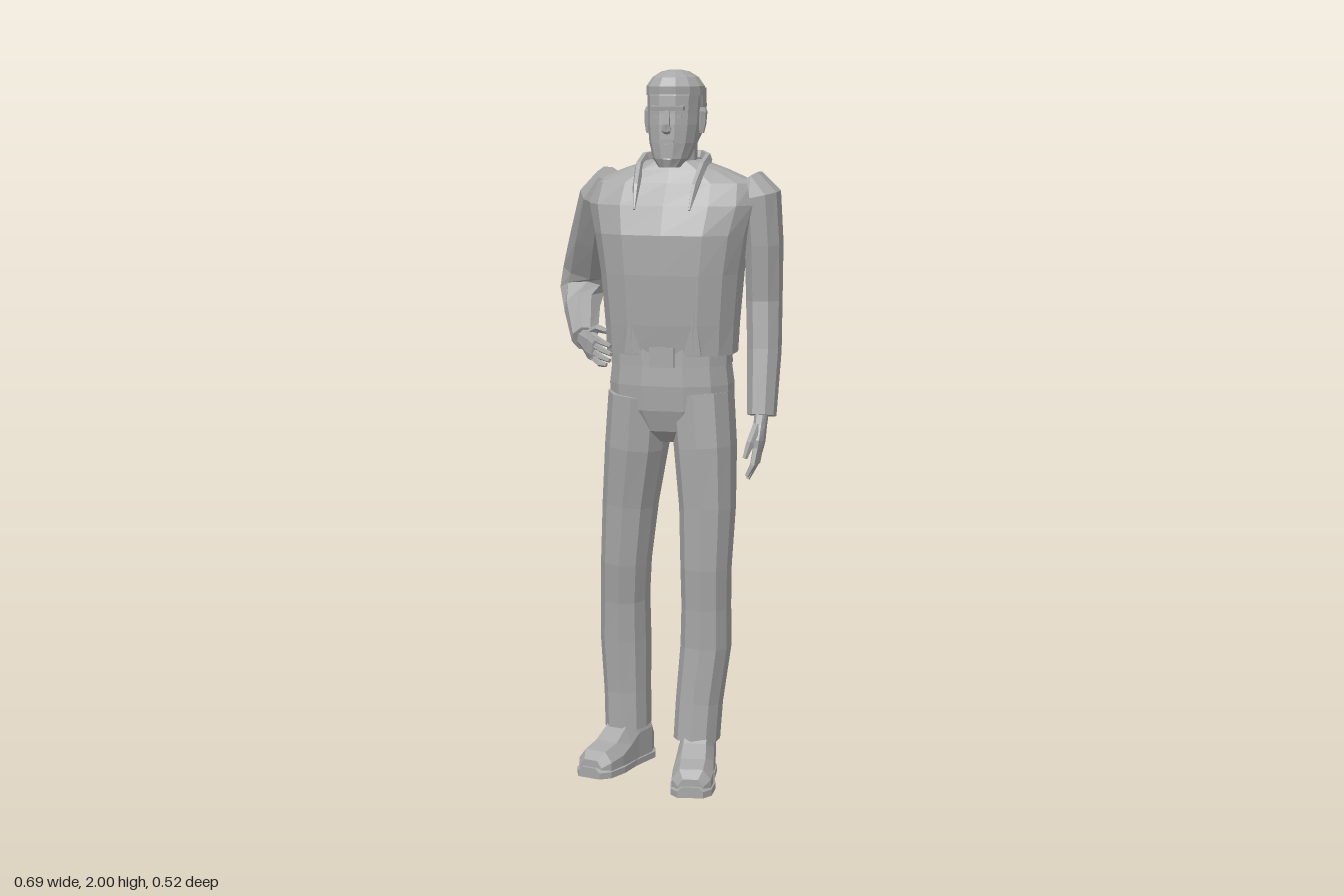
import * as THREE from 'three';

const V = (x, y, z) => new THREE.Vector3(x, y, z);
const cloth = new THREE.MeshStandardMaterial({ color: 0xa8a8a8 });
cloth.name = 'plain grey';
const YAW = 0.68; // the figure stands turned towards its left
const SIDE = V(Math.cos(YAW), 0, -Math.sin(YAW));
const FRONT = V(Math.sin(YAW), 0, Math.cos(YAW));

// Faceted skin over a row of rings, closed at both ends
function loft(name, rings) {
  const pos = [];
  const tri = (...pts) => pts.forEach((p) => pos.push(p.x, p.y, p.z));
  const n = rings[0].length;
  for (let i = 0; i < rings.length - 1; i++) {
    for (let j = 0; j < n; j++) {
      const k = (j + 1) % n, A = rings[i], B = rings[i + 1];
      tri(A[j], A[k], B[k]);
      tri(A[j], B[k], B[j]);
    }
  }
  const first = rings[0], last = rings[rings.length - 1];
  for (let j = 1; j < n - 1; j++) {
    tri(first[0], first[j + 1], first[j]);
    tri(last[0], last[j], last[j + 1]);
  }
  const g = new THREE.BufferGeometry();
  g.setAttribute('position', new THREE.Float32BufferAttribute(pos, 3));
  g.computeVertexNormals();
  return mesh(name, g);
}

function mesh(name, geometry) {
  const m = new THREE.Mesh(geometry, cloth);
  m.name = name;
  return m;
}

// Rounded-square ring spanned by axes u and v
function ring(c, u, v, a, b, n, power) {
  const soft = (t) => Math.sign(t) * Math.pow(Math.abs(t), 2 / power);
  return Array.from({ length: n }, (_, i) => {
    const t = ((i + 0.5) / n) * Math.PI * 2;
    return c.clone().addScaledVector(u, a * soft(Math.cos(t))).addScaledVector(v, b * soft(Math.sin(t)));
  });
}

// Upright form from rows of [y, half width, half depth, z centre]
function stack(name, rows, n = 12, power = 2.5) {
  return loft(name, rows.map(([y, a, b, z = 0]) => ring(V(0, y, z), V(1, 0, 0), V(0, 0, -1), a, b, n, power)));
}

// Form along a path from rows of [x, y, z, a, b]; a is measured along ref
function limb(name, rows, ref, n = 8, power = 2.4) {
  const p = rows.map((r) => V(r[0], r[1], r[2]));
  return loft(name, rows.map((r, i) => {
    const w = p[Math.min(i + 1, p.length - 1)].clone().sub(p[Math.max(i - 1, 0)]).normalize();
    const u = ref.clone().addScaledVector(w, -ref.dot(w)).normalize();
    return ring(p[i], u, w.clone().cross(u), r[3], r[4], n, power);
  }));
}

// Palm, four curled fingers and a thumb; the thumb lies on the 'across' side
function hand(name, wrist, tip, across, palmSide) {
  const g = new THREE.Group();
  g.name = name;
  const d = tip.clone().sub(wrist);
  const at = (t, s, c) => wrist.clone().addScaledVector(d, t).addScaledVector(across, s).addScaledVector(palmSide, c);
  const row = (t, s, c, a, b) => [...at(t, s, c).toArray(), a, b];
  g.add(limb('palm', [row(-0.1, 0, 0, 0.024, 0.02), row(0.15, 0, 0, 0.03, 0.018),
    row(0.4, 0, 0, 0.041, 0.017), row(0.58, 0, 0, 0.036, 0.012)], across));
  [0.028, 0.009, -0.01, -0.028].forEach((s, i) => {
    const len = [0.94, 1, 0.97, 0.86][i];
    g.add(limb('finger', [row(0.5, s, 0, 0.01, 0.01), row(0.76, s * 1.1, 0.004, 0.009, 0.009),
      row(len, s * 1.05, 0.018, 0.006, 0.006)], across, 5, 2));
  });
  g.add(limb('thumb', [row(0.15, 0.02, 0.005, 0.013, 0.013), row(0.4, 0.05, 0.014, 0.012, 0.012),
    row(0.64, 0.054, 0.024, 0.007, 0.007)], palmSide, 5, 2));
  return g;
}

// Shoe running from heel to toe along +z
function shoe(name, x, z, yaw) {
  const g = new THREE.Group();
  g.name = name;
  const section = ([pz, w, h]) => [[-w, 0], [w, 0], [w, h * 0.6], [w * 0.6, h], [-w * 0.6, h], [-w, h * 0.6]]
    .map(([px, py]) => V(px, py, pz));
  g.add(loft('upper', [[-0.035, 0.036, 0.11], [0, 0.05, 0.16], [0.07, 0.05, 0.155], [0.12, 0.054, 0.115],
    [0.17, 0.058, 0.085], [0.23, 0.055, 0.072], [0.255, 0.036, 0.05]].map(section)));
  g.add(loft('sole', [[-0.042, 0.036, 0.03], [-0.015, 0.053, 0.03], [0.09, 0.053, 0.03], [0.17, 0.063, 0.03],
    [0.235, 0.058, 0.03], [0.265, 0.036, 0.03]].map(section)));
  g.position.set(x, 0, z);
  g.rotation.y = yaw;
  return g;
}

function box(name, w, h, d, x, y, z, rx = 0) {
  const m = mesh(name, new THREE.BoxGeometry(w, h, d));
  m.position.set(x, y, z);
  m.rotation.x = rx;
  return m;
}

function buildHead() {
  const g = new THREE.Group();
  g.name = 'head';
  g.add(stack('neck', [[1.69, 0.068, 0.068, -0.045], [1.75, 0.058, 0.06, -0.045], [1.83, 0.058, 0.06, -0.045]], 10, 2));
  g.add(stack('face', [[1.733, 0.03, 0.025, 0.04], [1.757, 0.05, 0.058, 0.017], [1.8, 0.065, 0.084, -0.008],
    [1.85, 0.072, 0.094, -0.02], [1.88, 0.073, 0.095, -0.024], [1.93, 0.075, 0.098, -0.03],
    [1.97, 0.064, 0.08, -0.034]], 12, 2.3));
  g.add(stack('backHair', [[1.79, 0.05, 0.04, -0.07], [1.83, 0.069, 0.055, -0.068], [1.9, 0.08, 0.072, -0.06],
    [1.95, 0.08, 0.08, -0.05]], 12, 2.3));
  g.add(stack('topHair', [[1.93, 0.08, 0.1, -0.034], [1.955, 0.079, 0.1, -0.032], [1.98, 0.062, 0.082, -0.032],
    [1.995, 0.038, 0.055, -0.03], [2, 0.016, 0.03, -0.03]], 12, 2.2));
  // Nose, brow, lips and chin
  g.add(limb('nose', [[0, 1.888, 0.066, 0.007, 0.008], [0, 1.85, 0.08, 0.011, 0.012],
    [0, 1.836, 0.078, 0.016, 0.012], [0, 1.828, 0.07, 0.009, 0.006]], V(1, 0, 0), 6, 2));
  g.add(box('brow', 0.092, 0.012, 0.02, 0, 1.896, 0.062, 0.15));
  g.add(box('upperLip', 0.042, 0.008, 0.014, 0, 1.805, 0.073));
  g.add(box('lowerLip', 0.034, 0.009, 0.012, 0, 1.793, 0.07));
  g.add(stack('chin', [[1.735, 0.018, 0.012, 0.057], [1.755, 0.025, 0.016, 0.06], [1.772, 0.016, 0.012, 0.056]], 8, 2));
  for (const s of [-1, 1]) {
    g.add(box('eye', 0.022, 0.007, 0.008, s * 0.029, 1.873, 0.062));
    const ear = stack('ear', [[1.825, 0.006, 0.01, -0.025], [1.85, 0.011, 0.016, -0.03],
      [1.885, 0.013, 0.021, -0.034], [1.897, 0.008, 0.014, -0.034]], 6, 2);
    ear.position.x = s * 0.077;
    g.add(ear);
  }
  return g;
}

function buildBody() {
  const g = new THREE.Group();
  g.name = 'body';
  g.add(stack('jacket', [[1.215, 0.184, 0.125, 0.002], [1.3, 0.188, 0.138, 0], [1.44, 0.2, 0.147, 0],
    [1.55, 0.218, 0.148, -0.002], [1.63, 0.238, 0.132, -0.014], [1.69, 0.232, 0.098, -0.028],
    [1.725, 0.15, 0.08, -0.034], [1.75, 0.078, 0.068, -0.038]], 14, 2.6));
  g.add(stack('pelvis', [[0.965, 0.035, 0.06, 0.005], [1.0, 0.11, 0.1, 0.004], [1.06, 0.175, 0.122, 0.002],
    [1.13, 0.175, 0.124, 0.005], [1.24, 0.162, 0.112, 0.01]], 12, 2.5));
  g.add(stack('belt', [[1.185, 0.171, 0.121, 0.008], [1.235, 0.169, 0.119, 0.008]], 12, 2.5));
  g.add(box('buckle', 0.07, 0.055, 0.02, 0, 1.212, 0.127));
  // Standing collar that ends in two hanging points
  const half = [[0.078, 1.62, 0.132, 0.003, 0.003], [0.083, 1.68, 0.088, 0.016, 0.01], [0.09, 1.73, 0.025, 0.022, 0.012],
    [0.09, 1.75, -0.045, 0.022, 0.012], [0.06, 1.755, -0.105, 0.022, 0.012]];
  const rest = half.map(([x, ...r]) => [-x, ...r]).reverse();
  g.add(limb('collar', [...half, ...rest], V(0, 1, 0), 6, 2));
  // Folds in the front hem
  for (const s of [-1, 1]) {
    g.add(limb('hemFold', [[s * 0.085, 1.22, 0.118, 0.028, 0.008], [s * 0.09, 1.35, 0.128, 0.003, 0.004]], V(1, 0, 0), 6, 2));
  }
  g.add(buildHead());
  g.position.set(0.067, 0, 0.002);
  g.rotation.y = YAW;
  return g;
}

export function createModel() {
  const model = new THREE.Group();
  model.name = 'standingMan';
  model.add(buildBody());

  // Trouser legs, top to bottom
  model.add(limb('rightLeg', [[0.003, 1.1, 0.065, 0.088, 0.116], [-0.012, 0.95, 0.068, 0.087, 0.115],
    [-0.038, 0.78, 0.072, 0.077, 0.098], [-0.054, 0.61, 0.076, 0.07, 0.086], [-0.072, 0.5, 0.066, 0.068, 0.084],
    [-0.084, 0.38, 0.056, 0.07, 0.087], [-0.084, 0.22, 0.05, 0.065, 0.08], [-0.084, 0.11, 0.048, 0.064, 0.08]], SIDE, 10));
  model.add(limb('leftLeg', [[0.14, 1.1, -0.045, 0.088, 0.116], [0.158, 0.95, -0.045, 0.085, 0.113],
    [0.172, 0.78, -0.042, 0.077, 0.098], [0.176, 0.61, -0.034, 0.07, 0.086], [0.17, 0.5, -0.04, 0.068, 0.084],
    [0.164, 0.38, -0.044, 0.07, 0.087], [0.16, 0.22, -0.024, 0.065, 0.08], [0.161, 0.11, -0.014, 0.064, 0.08]], SIDE, 10));
  model.add(shoe('rightShoe', -0.098, 0.005, 0.38));
  model.add(shoe('leftShoe', 0.135, -0.04, 0.82));

  // Hanging left arm
  model.add(limb('leftSleeve', [[0.205, 1.7, -0.165, 0.06, 0.035], [0.232, 1.655, -0.184, 0.075, 0.052],
    [0.234, 1.52, -0.192, 0.069, 0.052], [0.226, 1.36, -0.2, 0.06, 0.05], [0.24, 1.22, -0.19, 0.058, 0.047],
    [0.264, 1.04, -0.162, 0.05, 0.04]], FRONT));
  model.add(hand('leftHand', V(0.264, 1.04, -0.16), V(0.274, 0.865, -0.13), FRONT, SIDE.clone().negate()));

  // Right arm, bent across the waist
  model.add(limb('rightSleeve', [[-0.095, 1.705, 0.1, 0.055, 0.035], [-0.13, 1.655, 0.108, 0.074, 0.054],
    [-0.205, 1.53, 0.085, 0.064, 0.06], [-0.268, 1.425, 0.062, 0.054, 0.066], [-0.28, 1.365, 0.067, 0.052, 0.064],
    [-0.22, 1.318, 0.11, 0.05, 0.05], [-0.085, 1.25, 0.198, 0.036, 0.036]], FRONT));
  model.add(hand('rightHand', V(-0.09, 1.252, 0.198), V(0.082, 1.215, 0.25), V(0.2, 0.98, 0).normalize(), V(0.25, 0, -0.95).normalize()));
  return model;
}
